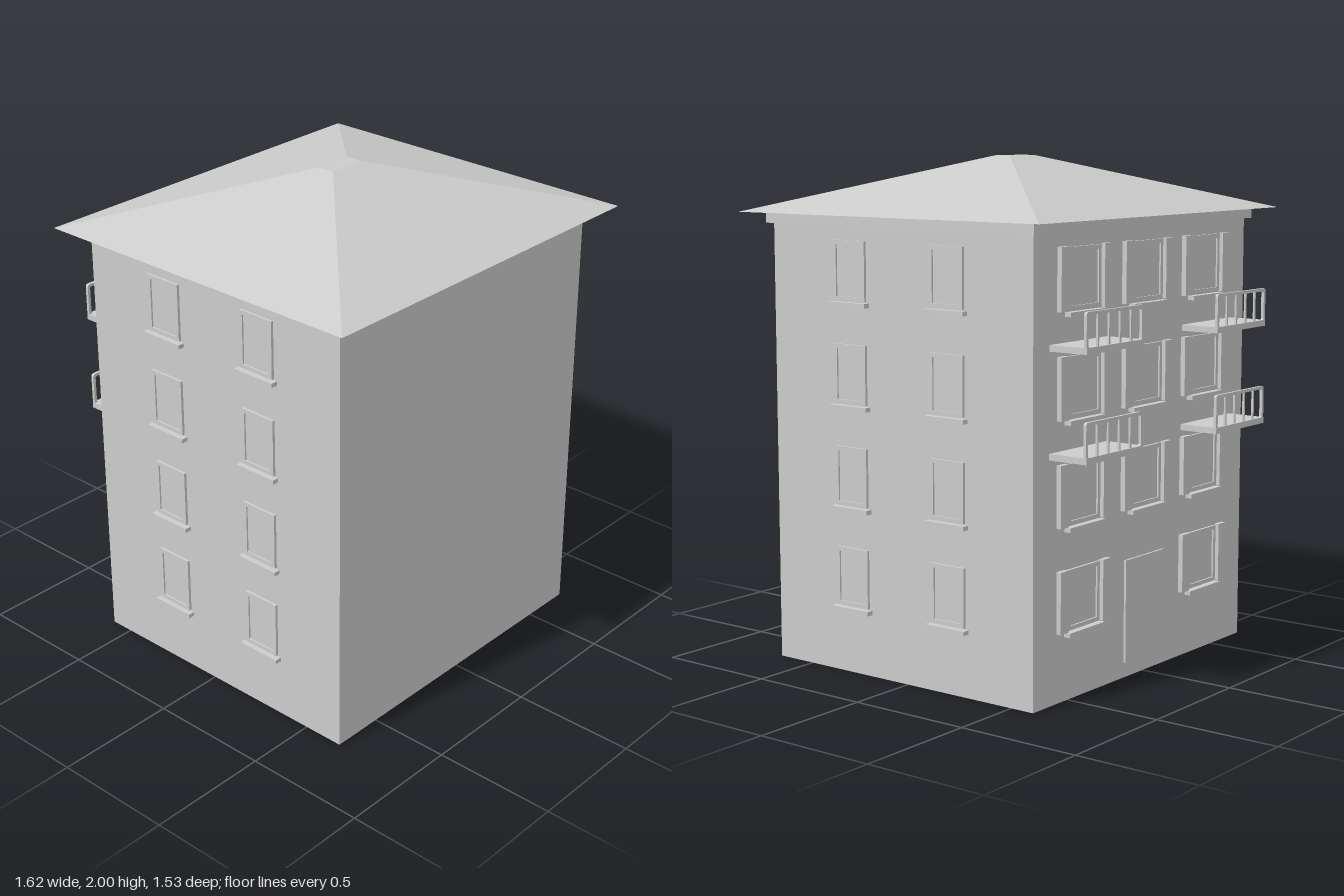
import * as THREE from 'three';

const plaster = new THREE.MeshStandardMaterial({ color: 0xcccccc });
plaster.name = 'plaster grey';

const WALL_X = 0.712, BACK_Z = -0.6, MID_Z = 0.035;
const ROWS = [0.245, 0.642, 1.039, 1.436]; // underside of the sills on each storey

function add(parent, name, geometry, x = 0, y = 0, z = 0) {
  const mesh = new THREE.Mesh(geometry, plaster);
  mesh.name = name;
  mesh.position.set(x, y, z);
  parent.add(mesh);
  return mesh;
}

// Box given by its centre in x, its bottom in y and its back in z
function block(parent, name, w, h, d, x, y, z) {
  return add(parent, name, new THREE.BoxGeometry(w, h, d), x, y + h / 2, z + d / 2);
}

// Rectangle with rounded corners, standing on y = 0
function rounded(path, w, h, r, inset = 0) {
  const a = w / 2 - inset, b = inset, t = h - inset;
  path.moveTo(-a + r, b);
  path.lineTo(a - r, b);
  path.quadraticCurveTo(a, b, a, b + r);
  path.lineTo(a, t - r);
  path.quadraticCurveTo(a, t, a - r, t);
  path.lineTo(-a + r, t);
  path.quadraticCurveTo(-a, t, -a, t - r);
  path.lineTo(-a, b + r);
  path.quadraticCurveTo(-a, b, -a + r, b);
  return path;
}

function frameGeometry(w, h, bar, depth, r) {
  const shape = rounded(new THREE.Shape(), w, h, r);
  shape.holes.push(rounded(new THREE.Path(), w, h, r * 0.6, bar));
  return new THREE.ExtrudeGeometry(shape, { depth, bevelEnabled: false, curveSegments: 3 });
}

// Window facing local +z, with its wall at z = 0 and its sill at y = 0
function makeWindow(width, sillWidth, shutters) {
  const g = new THREE.Group();
  g.name = 'window';
  block(g, 'sill', sillWidth, 0.017, 0.028, 0, 0, 0);
  add(g, 'windowFrame', frameGeometry(width, 0.23, 0.016, 0.011, 0.001), 0, 0.022, 0);
  block(g, 'pane', width - 0.03, 0.2, 0.004, 0, 0.037, 0);
  if (shutters) {
    for (const s of [-1, 1]) block(g, 'shutter', 0.05, 0.235, 0.02, s * 0.135, 0.02, 0);
  }
  return g;
}

// Balcony facing local +z, with the slab underside at y = 0
function makeBalcony() {
  const g = new THREE.Group();
  g.name = 'balcony';
  const w = 0.36, h = 0.14, bar = 0.012;
  block(g, 'balconySlab', w, 0.024, 0.165, 0, 0, 0);
  add(g, 'railFrame', frameGeometry(w, h, bar, bar, 0.012), 0, 0.012, 0.152);
  for (let i = 1; i <= 4; i++) {
    block(g, 'baluster', 0.008, h - bar, 0.008, (i / 5 - 0.5) * (w - bar), 0.018, 0.154);
  }
  return g;
}

function place(parent, part, x, y, z, turn) {
  part.position.set(x, y, z);
  part.rotation.y = turn;
  parent.add(part);
}

export function createModel() {
  const house = new THREE.Group();
  house.name = 'apartmentHouse';

  // Walls and cornice
  block(house, 'walls', WALL_X * 2, 1.75, 1.27, 0, 0, BACK_Z);
  block(house, 'cornice', 1.47, 0.045, 1.312, 0, 1.742, -0.621);

  // Hipped roof with a small flat top: a box tapered towards its upper face
  const roof = new THREE.BoxGeometry(1.62, 0.215, 1.465);
  const p = roof.attributes.position;
  for (let i = 0; i < p.count; i++) {
    if (p.getY(i) > 0) {
      p.setX(i, Math.sign(p.getX(i)) * 0.08);
      p.setZ(i, Math.sign(p.getZ(i)) * 0.036);
    }
  }
  roof.computeVertexNormals();
  add(house, 'roof', roof, 0, 1.8925, MID_Z - 0.002);

  ROWS.forEach((y, row) => {
    // Two plain windows on each side wall
    for (const s of [-1, 1]) {
      for (const z of [0.272, -0.205]) {
        place(house, makeWindow(0.16, 0.188, false), s * WALL_X, y, z, s * Math.PI / 2);
      }
    }
    // Three shuttered windows on the back wall, leaving room for the door
    for (const x of [-0.41, 0, 0.41]) {
      if (row === 0 && x === 0) continue;
      place(house, makeWindow(0.2, 0.225, true), x, y, BACK_Z, Math.PI);
    }
  });

  // Balconies on the two upper storeys
  for (const y of [0.922, 1.318]) {
    for (const x of [-0.436, 0.436]) place(house, makeBalcony(), x, y, BACK_Z, Math.PI);
  }

  // Entrance door
  block(house, 'door', 0.265, 0.405, 0.009, 0, 0.06, BACK_Z - 0.009);

  return house;
}
